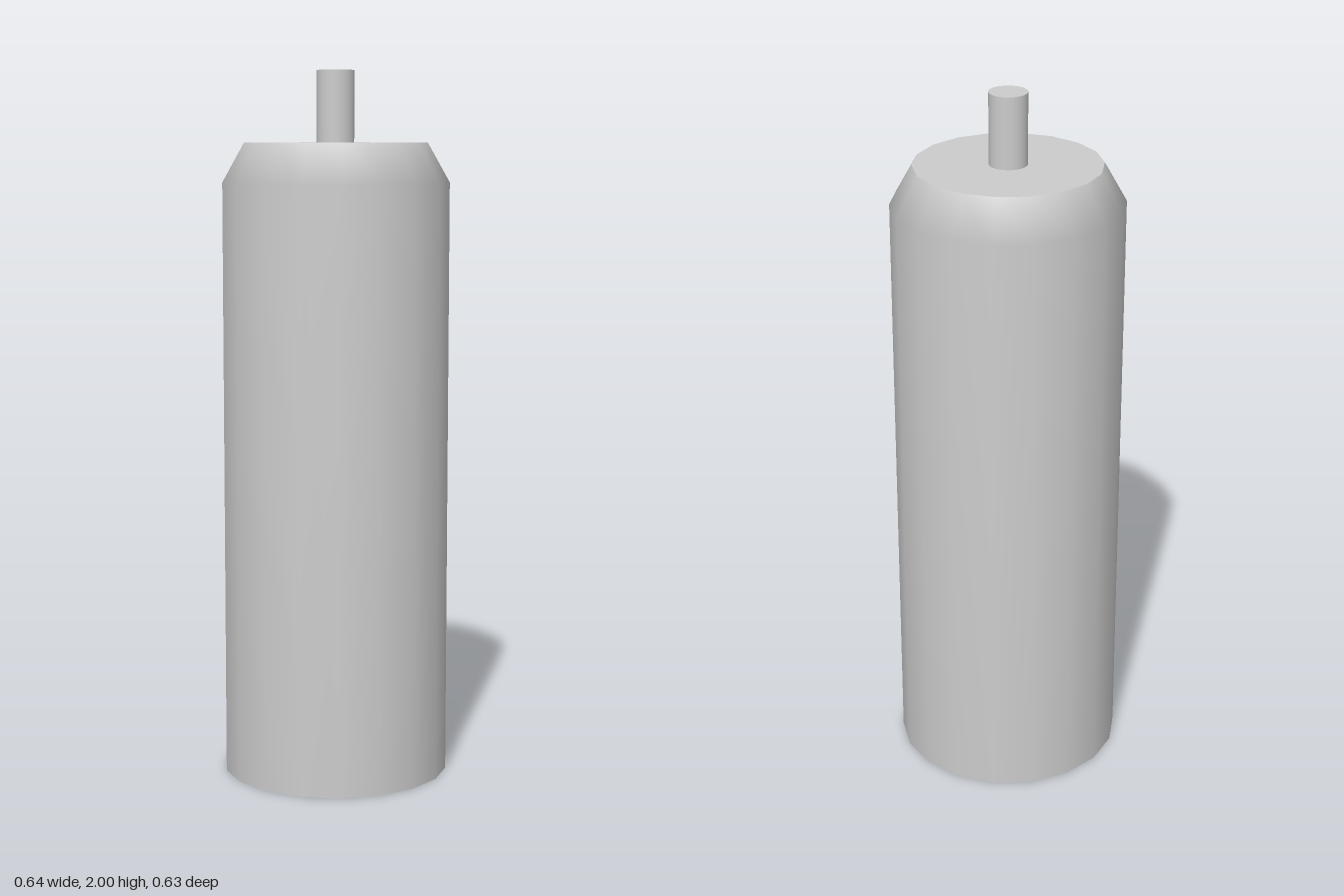
import * as THREE from 'three';

const SIDES = 18;
const BODY_RADIUS = 0.322, TOP_RADIUS = 0.26;
const SHOULDER_Y = 1.69, TOP_Y = 1.8, STEM_TOP_Y = 2;

export function createModel() {
  const group = new THREE.Group();
  const material = new THREE.MeshStandardMaterial({ color: 0xcccccc });

  const add = (name, geometry, y = 0) => {
    const mesh = new THREE.Mesh(geometry, material);
    mesh.name = name;
    mesh.position.y = y;
    group.add(mesh);
  };

  // Wall and sloping shoulder, shaded as one smooth surface
  const profile = [
    new THREE.Vector2(BODY_RADIUS, 0),
    new THREE.Vector2(BODY_RADIUS, SHOULDER_Y),
    new THREE.Vector2(TOP_RADIUS, TOP_Y),
  ];
  // Quarter turn puts a corner on the x axis, matching the end discs
  add('body', new THREE.LatheGeometry(profile, SIDES, Math.PI / 2));

  // Flat ends
  add('base', new THREE.CircleGeometry(BODY_RADIUS, SIDES).rotateX(Math.PI / 2));
  add('topFace', new THREE.CircleGeometry(TOP_RADIUS, SIDES).rotateX(-Math.PI / 2), TOP_Y);

  // Thin stem standing on the top
  const stemHeight = STEM_TOP_Y - TOP_Y;
  add('stem', new THREE.CylinderGeometry(0.053, 0.053, stemHeight, 32), TOP_Y + stemHeight / 2);

  return group;
}
